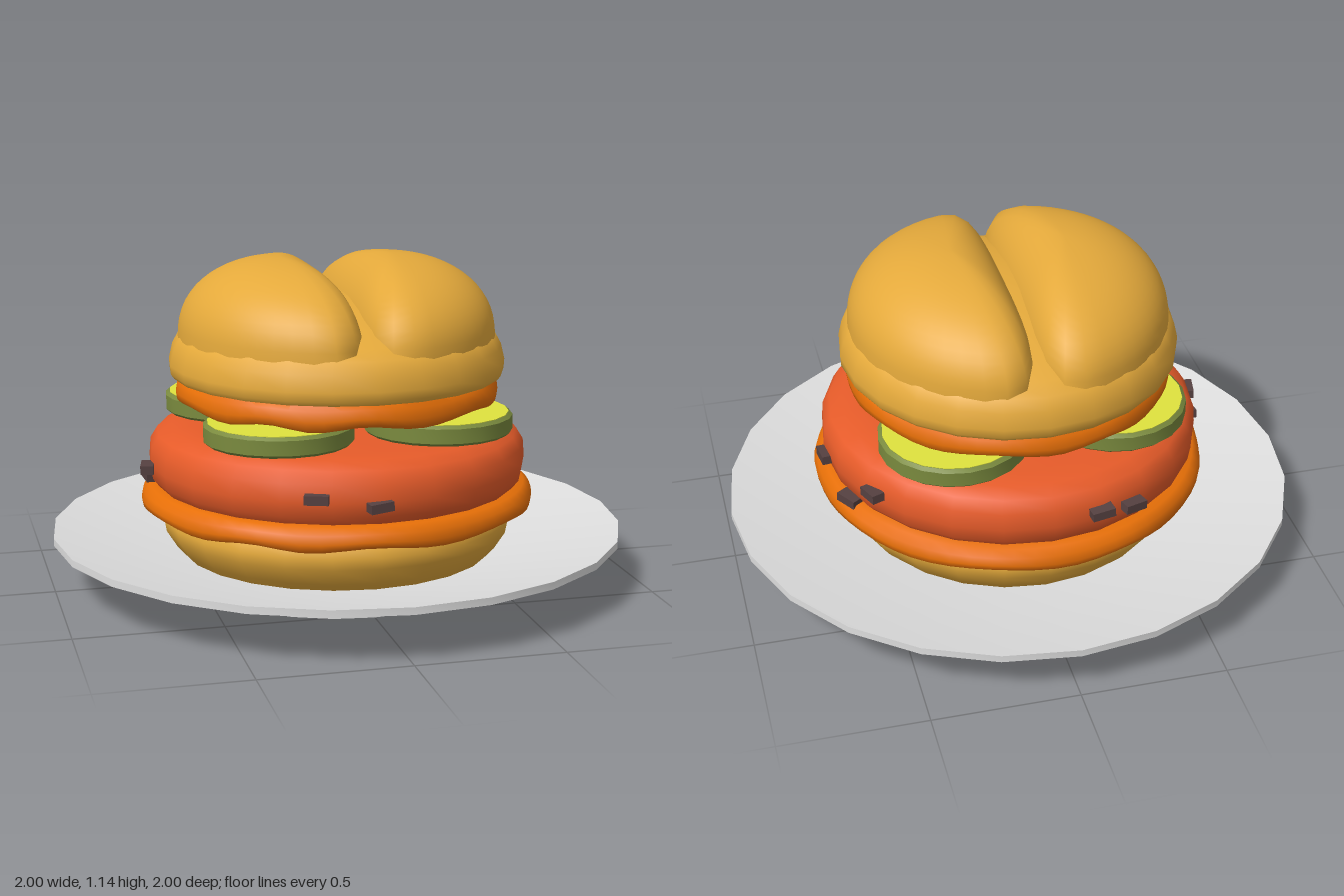
import * as THREE from 'three';
import { toCreasedNormals } from 'three/addons/utils/BufferGeometryUtils.js';

const mat = (name, color) => Object.assign(new THREE.MeshStandardMaterial({ color }), { name });

// Turned solid from [radius, height] pairs, listed bottom to top
function turned(points, segments, crease = 0.7) {
  const geo = new THREE.LatheGeometry(points.map(p => new THREE.Vector2(...p)), segments);
  return toCreasedNormals(geo, crease);
}

// Ring of melted cheese with a wavy hem
function cheeseRing(radius, bottom, top, waves, amp) {
  const h = top - bottom;
  const profile = [
    [radius - 0.08, top - 0.015], [radius - 0.03, bottom + h * 0.35], [radius - 0.014, bottom],
    [radius - 0.003, bottom + h * 0.1], [radius, bottom + h * 0.35],
    [radius - 0.008, bottom + h * 0.7], [radius - 0.03, top], [radius - 0.08, top], [radius - 0.08, top - 0.015],
  ];
  const geo = new THREE.LatheGeometry(profile.map(p => new THREE.Vector2(...p)), 60);
  const pos = geo.attributes.position;
  for (let i = 0; i < pos.count; i++) {
    const a = Math.atan2(pos.getZ(i), pos.getX(i));
    const w = Math.sin(a * waves + 0.6 * Math.sin(a * 3));
    const drop = THREE.MathUtils.clamp((top - pos.getY(i)) / h, 0, 1);
    const s = 1 + 0.006 * w * drop;
    pos.setXYZ(i, pos.getX(i) * s, pos.getY(i) + amp * w * drop, pos.getZ(i) * s);
  }
  return toCreasedNormals(geo, 0.9);
}

// Half of the split bun crown: a full dome over a D-shaped footprint with round corners
function crownLobe(side) {
  const rows = 16, cols = 48, verts = [], index = [];
  const cx = 0.2, base = 0.86, height = 0.28, outer = 0.55, innerX = 0.207;
  for (let j = 0; j <= rows; j++) {
    const t = (j / rows) * Math.PI / 2;
    const y = base + height * Math.pow(Math.max(Math.cos(t), 0), 0.87);
    for (let i = 0; i < cols; i++) {
      const a = (i / cols) * Math.PI * 2, c = Math.cos(a), s = Math.sin(a);
      // distance to the round rim, blended with the straight inner side
      const round = -cx * c + Math.sqrt(outer * outer - cx * cx * s * s);
      const flat = c < 0 ? -c / innerX : 0;
      const r = Math.pow(Math.pow(1 / round, 4) + Math.pow(flat, 4), -1 / 4) * Math.sin(t);
      verts.push(side * (cx + r * c), y, r * s);
    }
  }
  for (let j = 0; j < rows; j++) for (let i = 0; i < cols; i++) {
    const k = (i + 1) % cols;
    const a = j * cols + i, b = j * cols + k, c = a + cols, d = b + cols;
    if (side > 0) index.push(a, b, d, a, d, c);
    else index.push(a, d, b, a, c, d);
  }
  const geo = new THREE.BufferGeometry();
  geo.setAttribute('position', new THREE.Float32BufferAttribute(verts, 3));
  geo.setIndex(index);
  geo.computeVertexNormals();
  // level normals on the apex, where the first row collapses to a point
  for (let i = 0; i < cols; i++) geo.attributes.normal.setXYZ(i, 0, 1, 0);
  return geo;
}

export function createModel() {
  const model = new THREE.Group();
  model.name = 'burgerOnPlate';
  const bun = mat('bun', 0xe4a93b), cheese = mat('cheese', 0xf07408), patty = mat('patty', 0xe65b29);
  const pickleSkin = mat('pickleSkin', 0x7a8a3e), pickleFlesh = mat('pickleFlesh', 0xdfe23e);
  const plate = mat('plate', 0xdedede), char = mat('char', 0x564141);
  const add = (name, geo, material, parent = model) => {
    const mesh = new THREE.Mesh(geo, material);
    mesh.name = name;
    parent.add(mesh);
    return mesh;
  };

  // Plate with a hollow foot and a shallow dish
  add('plate', turned([[0, 0.07], [0.526, 0.07], [0.526, 0], [0.53, 0], [0.53, 0.07],
    [1, 0.165], [1, 0.19], [0.53, 0.1], [0, 0.1]], 24, 0.5), plate);

  // Bottom bun, its rounded lower edge pressing just through the plate floor
  add('bottomBun', turned([[0, 0.085], [0.46, 0.085], [0.5, 0.066], [0.52, 0.075], [0.57, 0.13], [0.608, 0.19],
    [0.615, 0.23], [0.6, 0.27], [0.55, 0.295], [0, 0.3]], 24, 0.9), bun);

  // Cheese under the patty
  add('lowerCheese', cheeseRing(0.688, 0.276, 0.352, 9, 0.009), cheese);

  // Patty
  add('patty', turned([[0, 0.32], [0.55, 0.32], [0.62, 0.34], [0.652, 0.38], [0.66, 0.43], [0.655, 0.49],
    [0.63, 0.53], [0.58, 0.553], [0.5, 0.56], [0, 0.56]], 24, 0.9), patty);

  // Charred flecks around the patty: x, y, z
  const flecks = [
    [-0.22, 0.447, 0.625], [-0.02, 0.42, 0.665], [-0.675, 0.43, 0.03], [-0.655, 0.388, -0.04],
    [0.66, 0.412, -0.04], [0.555, 0.46, -0.37], [0.612, 0.357, -0.24],
    [-0.28, 0.44, -0.61], [-0.16, 0.46, -0.65],
  ];
  const fleckGroup = new THREE.Group();
  fleckGroup.name = 'charFlecks';
  model.add(fleckGroup);
  flecks.forEach(([x, y, z], i) => {
    const fleck = add('charFleck', new THREE.BoxGeometry(0.08, 0.031, 0.045), char, fleckGroup);
    fleck.position.set(x, y, z);
    fleck.rotation.set(0, Math.atan2(x, z) + 0.25 * Math.sin(i * 2.3), 0.08 * Math.sin(i * 1.7));
  });

  // Four pickle slices, laid a little unevenly: x, z
  const skinGeo = turned([[0, 0], [0.243, 0], [0.254, 0.01], [0.254, 0.06], [0.242, 0.07], [0, 0.07]], 20, 0.5);
  const fleshGeo = new THREE.CylinderGeometry(0.24, 0.24, 0.006, 20);
  for (const [x, z] of [[-0.31, -0.235], [0.262, -0.3], [-0.27, 0.288], [0.292, 0.262]]) {
    const slice = new THREE.Group();
    slice.name = 'pickleSlice';
    slice.position.set(x, 0.562, z);
    add('pickleSkin', skinGeo, pickleSkin, slice);
    add('pickleFlesh', fleshGeo, pickleFlesh, slice).position.y = 0.069;
    model.add(slice);
  }

  // Cheese under the top bun
  add('upperCheese', cheeseRing(0.562, 0.645, 0.737, 9, 0.01), cheese);

  // Top bun: a domed heel and two crown lobes split by a crease
  add('topBunBase', turned([[0, 0.73], [0.572, 0.73], [0.583, 0.745], [0.585, 0.775], [0.572, 0.83],
    [0.55, 0.87], [0.5, 0.9], [0.4, 0.945], [0.25, 0.987], [0.1, 1.008], [0, 1.01]], 24, 0.9), bun);
  add('crownLobeLeft', crownLobe(1), bun);
  add('crownLobeRight', crownLobe(-1), bun);
  return model;
}
